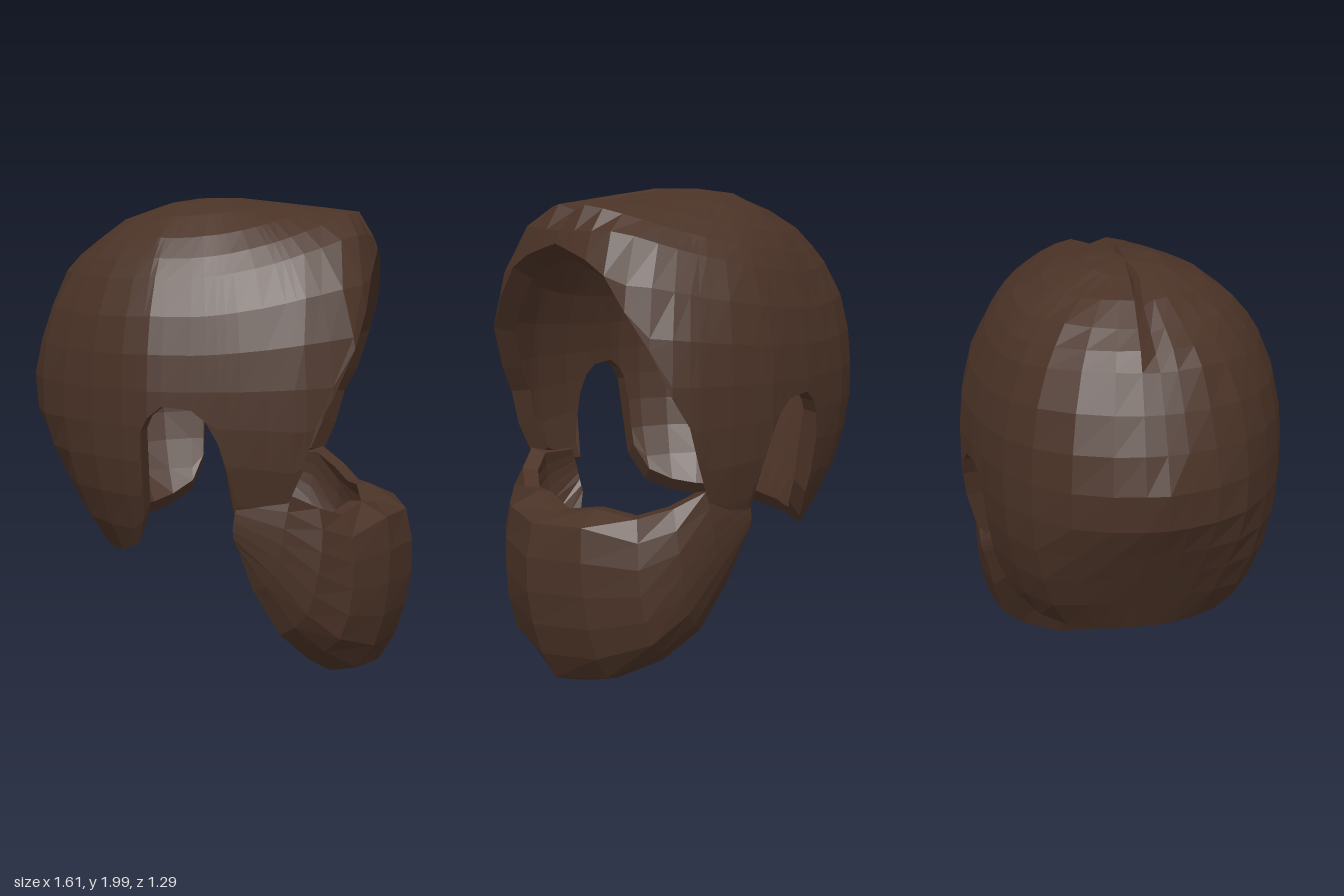
import * as THREE from 'three';

const brown = new THREE.MeshStandardMaterial({ color: 0x4a3226, flatShading: true });
brown.name = 'dark brown hair';

// piecewise linear lookup in [key, value] pairs
function lerpTable(table, k) {
  if (k <= table[0][0]) return table[0][1];
  for (let i = 1; i < table.length; i++) {
    const [k1, v1] = table[i];
    if (k <= k1) {
      const [k0, v0] = table[i - 1];
      return v0 + (v1 - v0) * (k - k0) / (k1 - k0);
    }
  }
  return table[table.length - 1][1];
}

// thick shell from a grid of columns (top to bottom); scaleAt(t) shrinks the inside towards a centre
function shell(name, outer, centre, scaleAt, openEnds) {
  const n = outer.length - 1, m = outer[0].length - 1;
  const inner = outer.map(col => col.map((p, j) =>
    p.clone().sub(centre).multiplyScalar(scaleAt(j / m)).add(centre)));
  const pos = [];
  const tri = (a, b, c) => {
    if (a.distanceTo(b) < 1e-5 || b.distanceTo(c) < 1e-5 || c.distanceTo(a) < 1e-5) return;
    [a, b, c].forEach(p => pos.push(p.x, p.y, p.z));
  };
  const quad = (a, b, c, d) => { tri(a, b, c); tri(a, c, d); };
  for (let i = 0; i < n; i++) {
    for (let j = 0; j < m; j++) {
      quad(outer[i][j], outer[i + 1][j], outer[i + 1][j + 1], outer[i][j + 1]);
      quad(inner[i][j], inner[i][j + 1], inner[i + 1][j + 1], inner[i + 1][j]);
    }
    quad(outer[i][m], outer[i + 1][m], inner[i + 1][m], inner[i][m]);
    if (openEnds) quad(inner[i][0], inner[i + 1][0], outer[i + 1][0], outer[i][0]);
  }
  if (openEnds) for (let j = 0; j < m; j++) {
    quad(inner[0][j], outer[0][j], outer[0][j + 1], inner[0][j + 1]);
    quad(outer[n][j], inner[n][j], inner[n][j + 1], outer[n][j + 1]);
  }
  const geo = new THREE.BufferGeometry();
  geo.setAttribute('position', new THREE.Float32BufferAttribute(pos, 3));
  geo.computeVertexNormals();
  const mesh = new THREE.Mesh(geo, brown);
  mesh.name = name;
  return mesh;
}

// hair volume along x: half width on each side (slightly uneven), height above and depth below the centre
const WIDTH_FRONT = [[-0.81, 0.02], [-0.77, 0.2], [-0.67, 0.37], [-0.5, 0.51], [-0.33, 0.6], [-0.17, 0.645],
  [0.17, 0.625], [0.4, 0.585], [0.6, 0.495], [0.66, 0.34], [0.7, 0.05]];
const WIDTH_BACK = [[-0.81, 0.02], [-0.77, 0.2], [-0.69, 0.355], [-0.51, 0.525], [-0.3, 0.585], [-0.1, 0.63],
  [0.1, 0.65], [0.25, 0.63], [0.43, 0.575], [0.52, 0.53], [0.6, 0.45], [0.66, 0.33], [0.7, 0.05]];
const RISE = [[-0.81, 0.09], [-0.72, 0.34], [-0.62, 0.55], [-0.4, 0.71], [-0.18, 0.785], [0, 0.8],
  [0.56, 0.74], [0.63, 0.6], [0.7, 0.05]];
const DROP = [[-0.81, 0.05], [-0.77, 0.1], [-0.5, 0.62], [-0.35, 0.77], [-0.2, 0.85], [0.7, 0.85]];

// lower edge of the hair as [azimuth, elevation]: hairline, sideburn, ear notch, nape
const EDGE = [[0, 39], [7, 37.5], [14, 35.5], [21, 32], [28, 24], [35, 15], [41, 3], [45.5, -5], [48, -16],
  [51, -27], [58, -33], [66, -36], [70, -20], [73, -11], [77, -4], [82, 0], [92, 1], [97, -3], [99.5, -8],
  [101, -37], [107, -47], [120, -52], [135, -55], [150, -56], [163, -57], [173, -57], [180, -57]];
const LEVELS = [90, 78, 66, 56, 48.5, 42, 30, 18, 6, -6, -18, -30, -42, -60];

function hair() {
  const centre = new THREE.Vector3(-0.1, 1.2, 0);
  const rad = Math.PI / 180;
  const inside = p => {
    if (p.x < -0.81 || p.x > 0.7) return false;
    const dy = p.y - centre.y;
    const h = lerpTable(dy > 0 ? RISE : DROP, p.x);
    const w = lerpTable(p.z > 0 ? WIDTH_FRONT : WIDTH_BACK, p.x);
    return (Math.abs(dy) / h) ** 2.3 + (Math.abs(p.z) / w) ** 2.3 < 1;
  };
  const surface = (az, el) => {
    const dir = new THREE.Vector3(Math.cos(az * rad) * Math.cos(el * rad), Math.sin(el * rad),
      Math.sin(az * rad) * Math.cos(el * rad));
    let lo = 0, hi = 2;
    for (let k = 0; k < 30; k++) {
      const mid = (lo + hi) / 2;
      if (inside(dir.clone().multiplyScalar(mid).add(centre))) lo = mid; else hi = mid;
    }
    // parting groove along the middle of the crown
    const groove = (az === 0 || Math.abs(az) === 180) && el > 45 && el < 89 ? 0.965 : 1;
    return dir.multiplyScalar(lo * groove).add(centre);
  };
  // rows share the same elevations and stop at the edge of each column
  const mirrored = EDGE.slice(1).reverse().map(([a, e]) => [-a, e]);
  const columns = [...mirrored, ...EDGE].map(([az, edge]) =>
    LEVELS.map(level => surface(az, Math.max(edge, level))));
  return shell('hair', columns, centre, () => 0.9, false);
}

function beard() {
  // columns from chin centre back to the sideburn, each from top edge to jaw edge
  const half = [
    [[0.64, 0.74, 0], [0.76, 0.73, 0], [0.8, 0.47, 0], [0.76, 0.25, 0], [0.7, 0.1, 0], [0.63, 0.02, 0], [0.54, 0.005, 0]],
    [[0.6, 0.78, 0.19], [0.69, 0.76, 0.22], [0.72, 0.47, 0.25], [0.67, 0.21, 0.26], [0.59, 0.09, 0.23], [0.48, 0.05, 0.17]],
    [[0.54, 0.76, 0.36], [0.58, 0.69, 0.41], [0.59, 0.46, 0.44], [0.54, 0.27, 0.45], [0.41, 0.16, 0.36]],
    [[0.46, 0.81, 0.48], [0.48, 0.72, 0.52], [0.46, 0.52, 0.54], [0.41, 0.37, 0.525], [0.31, 0.29, 0.47]],
    [[0.36, 0.87, 0.55], [0.34, 0.76, 0.57], [0.32, 0.62, 0.57], [0.28, 0.52, 0.555], [0.21, 0.48, 0.52]],
    [[0.17, 0.86, 0.57], [0.15, 0.8, 0.58], [0.14, 0.73, 0.58], [0.145, 0.68, 0.57], [0.16, 0.64, 0.55]],
  ];
  const mirrored = half.slice(1).reverse().map(col => col.map(([x, y, z]) => [x, y, -z]));
  const columns = [...mirrored, ...half].map(col => {
    const curve = new THREE.CatmullRomCurve3(col.map(p => new THREE.Vector3(...p)));
    return curve.getSpacedPoints(7);
  });
  // thicker towards the jaw
  return shell('beard', columns, new THREE.Vector3(0.2, 0.75, 0), t => 0.87 - 0.08 * t * t, true);
}

export function createModel() {
  const group = new THREE.Group();
  group.name = 'hairAndBeard';
  group.add(hair(), beard());
  return group;
}
